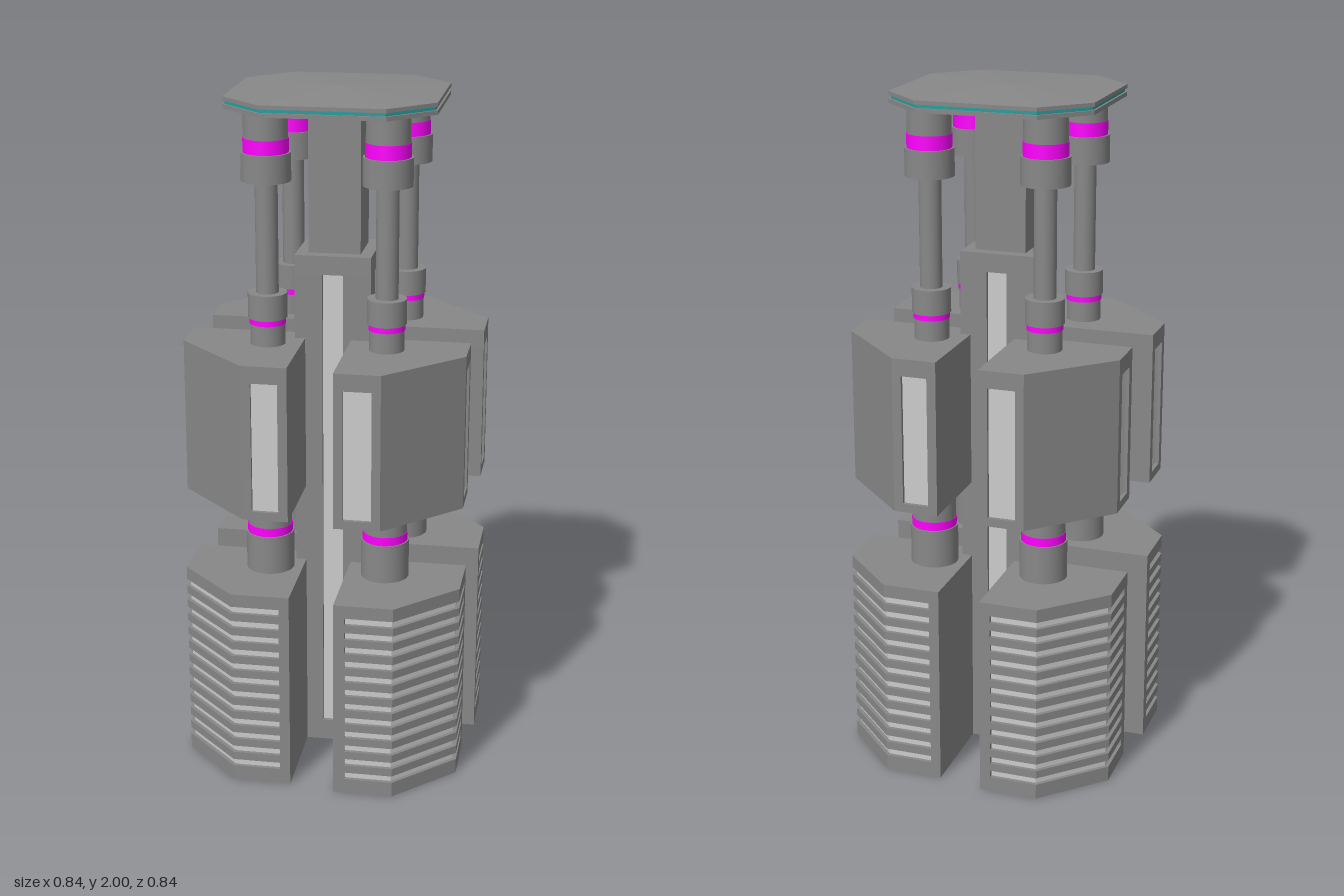
import * as THREE from 'three';

const mat = (color) => new THREE.MeshStandardMaterial({ color });
const BODY = mat(0x888888), LIGHT = mat(0xcccccc), MAGENTA = mat(0xff00ff), TEAL = mat(0x2a9c9c);
const DEPTH = 0.015; // how far slots and windows are sunk
const TAN = Math.tan(Math.PI / 8);

// Prism standing on y0 with an outline given as [x, z] points
function prism(parent, name, pts, y0, y1, material) {
  const shape = new THREE.Shape(pts.map(([x, z]) => new THREE.Vector2(x, -z)));
  const geo = new THREE.ExtrudeGeometry(shape, { depth: y1 - y0, bevelEnabled: false });
  geo.rotateX(-Math.PI / 2);
  const mesh = new THREE.Mesh(geo, material);
  mesh.name = name;
  mesh.position.y = y0;
  parent.add(mesh);
}

function cylinder(parent, name, r, y0, y1, material) {
  const mesh = new THREE.Mesh(new THREE.CylinderGeometry(r, r, y1 - y0, 32), material);
  mesh.name = name;
  mesh.position.y = (y0 + y1) / 2;
  parent.add(mesh);
}

// Pod footprint: a box with its outer corner cut off
const X0 = 0.053, X1 = 0.395, Z0 = 0.08, Z1 = 0.42;
const podOutline = (bx, cz) => [[X0, Z1], [bx, Z1], [X1, cz], [X1, Z0], [X0, Z0]];
// Path along the outer faces, sunk by d
const sunkPath = (bx, cz, d) => [
  [0.085, Z1 - d], [bx - d * TAN, Z1 - d], [X1 - d, cz - d * TAN], [X1 - d, 0.11]];

// Lower pod with light slots wrapping around three faces
function ribbedPod() {
  const g = new THREE.Group();
  g.name = 'ribbedPod';
  const bx = 0.225, cz = 0.25, count = 12, pitch = 0.045, h = 0.021;
  const full = podOutline(bx, cz);
  const floor = sunkPath(bx, cz, DEPTH);
  const notched = [full[0], [0.085, Z1], ...floor, [X1, 0.11], full[3], full[4]];
  const strip = [...sunkPath(bx, cz, DEPTH - 0.004), ...floor.slice().reverse()];
  let y = 0;
  for (let i = 0; i < count; i++) {
    const y0 = 0.045 + i * pitch;
    prism(g, 'podRib', full, y, y0, BODY);
    prism(g, 'podSlot', notched, y0, y0 + h, BODY);
    prism(g, 'slotLight', strip, y0, y0 + h, LIGHT);
    y = y0 + h;
  }
  prism(g, 'podTop', full, y, 0.6, BODY);
  return g;
}

// Upper pod with one sunk window on each flat outer face
function windowPod() {
  const g = new THREE.Group();
  g.name = 'windowPod';
  const bx = 0.185, cz = 0.21, zf = Z1 - DEPTH, xf = X1 - DEPTH, t = 0.004;
  const full = podOutline(bx, cz);
  const notched = [full[0], [0.08, Z1], [0.08, zf], [0.16, zf], [0.16, Z1], full[1],
    full[2], [X1, 0.183], [xf, 0.183], [xf, 0.107], [X1, 0.107], full[3], full[4]];
  prism(g, 'podBase', full, 0.835, 0.86, BODY);
  prism(g, 'podMiddle', notched, 0.86, 1.24, BODY);
  prism(g, 'podTop', full, 1.24, 1.29, BODY);
  prism(g, 'frontWindow', [[0.08, zf], [0.16, zf], [0.16, zf + t], [0.08, zf + t]], 0.86, 1.24, LIGHT);
  prism(g, 'sideWindow', [[xf, 0.107], [xf + t, 0.107], [xf + t, 0.183], [xf, 0.183]], 0.86, 1.24, LIGHT);
  return g;
}

// Round connectors and rod through the axis of a pod
function pillar() {
  const g = new THREE.Group();
  g.name = 'pillar';
  g.position.set(0.166, 0, 0.177);
  cylinder(g, 'lowerSocket', 0.07, 0.6, 0.715, BODY);
  cylinder(g, 'lowerRing', 0.066, 0.715, 0.74, MAGENTA);
  cylinder(g, 'lowerNeck', 0.064, 0.74, 0.84, BODY);
  cylinder(g, 'collarBase', 0.05, 1.28, 1.35, BODY);
  cylinder(g, 'collarRing', 0.052, 1.35, 1.367, MAGENTA);
  cylinder(g, 'collarTop', 0.056, 1.367, 1.44, BODY);
  cylinder(g, 'rod', 0.032, 1.43, 1.77, BODY);
  cylinder(g, 'headBase', 0.07, 1.76, 1.84, BODY);
  cylinder(g, 'headRing', 0.064, 1.84, 1.88, MAGENTA);
  cylinder(g, 'headTop', 0.062, 1.88, 1.96, BODY);
  return g;
}

// Square core with a sunk light strip on every side
function core(parent) {
  const a = 0.11, w = 0.03, f = a - DEPTH, t = 0.004;
  const turn = ([x, z], k) => { for (; k > 0; k--) [x, z] = [-z, x]; return [x, z]; };
  const square = (s) => [[-s, s], [s, s], [s, -s], [-s, -s]];
  const notched = [];
  for (let k = 0; k < 4; k++) {
    for (const p of [[a, a], [w, a], [w, f], [-w, f], [-w, a]]) notched.push(turn(p, k));
    prism(parent, 'coreLight', [[-w, f], [w, f], [w, f + t], [-w, f + t]].map((p) => turn(p, k)), 0.065, 1.48, LIGHT);
  }
  prism(parent, 'coreBase', square(a), 0, 0.065, BODY);
  prism(parent, 'coreMiddle', notched, 0.065, 1.48, BODY);
  prism(parent, 'coreTop', square(a), 1.48, 1.535, BODY);
  prism(parent, 'upperColumn', square(0.075), 1.535, 1.955, BODY);
}

// Uneven octagon for the cap, scaled by s
const octagon = (s) => [[0.175, 0.285], [0.298, 0.163], [0.298, -0.163], [0.175, -0.285],
  [-0.175, -0.285], [-0.298, -0.163], [-0.298, 0.163], [-0.175, 0.285]].map(([x, z]) => [x * s, z * s]);

// Shallow octagonal pyramid from the rim height to the apex height
function capCone(parent, name, rimY, apexY) {
  const ring = octagon(1), pos = [];
  ring.forEach(([x, z], i) => {
    const [u, v] = ring[(i + 1) % 8];
    const a = [x, rimY, z], b = [u, rimY, v];
    pos.push(...(apexY > rimY ? [...a, ...b] : [...b, ...a]), 0, apexY, 0);
  });
  const geo = new THREE.BufferGeometry();
  geo.setAttribute('position', new THREE.Float32BufferAttribute(pos, 3));
  geo.computeVertexNormals();
  const mesh = new THREE.Mesh(geo, BODY);
  mesh.name = name;
  parent.add(mesh);
}

export function createModel() {
  const model = new THREE.Group();
  model.name = 'tower';
  core(model);

  // Four identical quarters around the core
  for (let i = 0; i < 4; i++) {
    const quarter = new THREE.Group();
    quarter.name = 'quarter';
    quarter.rotation.y = i * Math.PI / 2;
    quarter.add(ribbedPod(), windowPod(), pillar());
    model.add(quarter);
  }

  // Cap: two plates around a sunk coloured band
  const cap = new THREE.Group();
  cap.name = 'cap';
  prism(cap, 'capLowerPlate', octagon(1), 1.955, 1.967, BODY);
  prism(cap, 'capBand', octagon(0.98), 1.967, 1.977, TEAL);
  prism(cap, 'capUpperPlate', octagon(1), 1.977, 1.988, BODY);
  capCone(cap, 'capRoof', 1.988, 2.0);
  capCone(cap, 'capUnderside', 1.955, 1.945);
  model.add(cap);
  return model;
}
